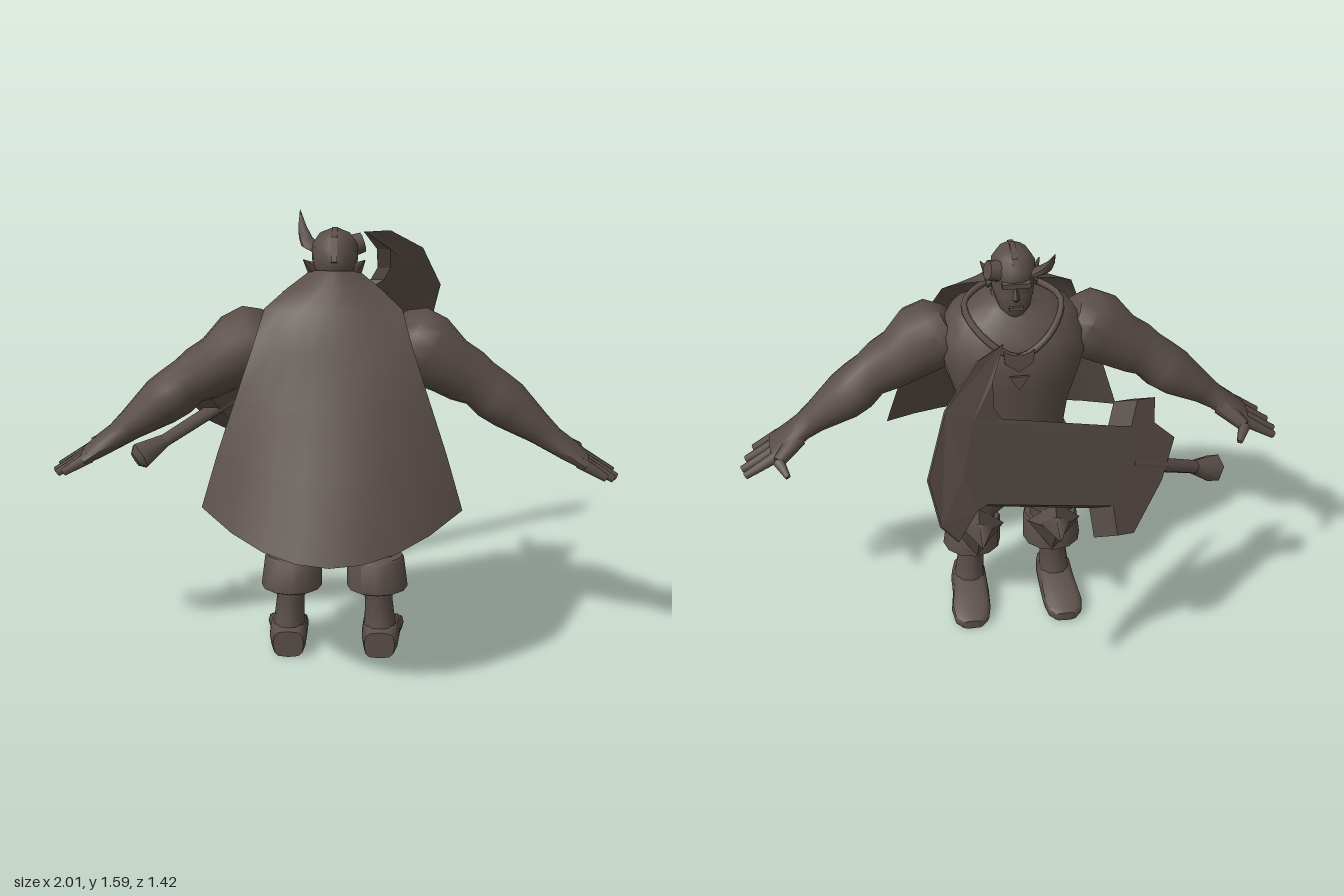
import * as THREE from 'three';
import { toCreasedNormals } from 'three/addons/utils/BufferGeometryUtils.js';
import { ConvexGeometry } from 'three/addons/geometries/ConvexGeometry.js';

const V = (x, y, z) => new THREE.Vector3(x, y, z);
const X = V(1, 0, 0), Y = V(0, 1, 0), Z = V(0, 0, 1);

export function createModel() {
  const model = new THREE.Group();
  const brown = new THREE.MeshStandardMaterial({ color: 0x5a4e48, side: THREE.DoubleSide });
  brown.name = 'dark brown';

  function add(name, geometry) {
    const mesh = new THREE.Mesh(geometry, brown);
    mesh.name = name;
    model.add(mesh);
    return mesh;
  }

  // Capped skin over rings [x, y, z, radius along U, radius along W]; power < 1 squares the ring
  function loft(name, rings, U, W, sides = 14, power = 1) {
    const pos = [], idx = [], count = rings.length;
    const bend = (v) => Math.sign(v) * Math.pow(Math.abs(v), power);
    for (const [x, y, z, a, b] of rings) {
      for (let i = 0; i < sides; i++) {
        const t = (i / sides) * Math.PI * 2;
        const p = V(x, y, z).addScaledVector(U, a * bend(Math.cos(t))).addScaledVector(W, b * bend(Math.sin(t)));
        pos.push(p.x, p.y, p.z);
      }
    }
    const first = rings[0], last = rings[count - 1];
    pos.push(...first.slice(0, 3), ...last.slice(0, 3));
    const axis = V(last[0] - first[0], last[1] - first[1], last[2] - first[2]);
    const flip = U.clone().cross(W).dot(axis) < 0;
    const tri = (a, b, c) => (flip ? idx.push(a, c, b) : idx.push(a, b, c));
    for (let i = 0; i < sides; i++) {
      const j = (i + 1) % sides, top = (count - 1) * sides;
      for (let r = 0; r < count - 1; r++) {
        const o = r * sides, n = o + sides;
        tri(o + i, o + j, n + j);
        tri(o + i, n + j, n + i);
      }
      tri(count * sides, j, i);
      tri(count * sides + 1, top + i, top + j);
    }
    const g = new THREE.BufferGeometry();
    g.setAttribute('position', new THREE.Float32BufferAttribute(pos, 3));
    g.setIndex(idx);
    return add(name, toCreasedNormals(g, 0.85));
  }

  // Horizontal ring from its height, centre x, half width, front z and back z
  const ring = (y, x, a, front, back) => [x, y, (front + back) / 2, a, (back - front) / 2];

  // Tapered rod between two points
  function rod(name, p, q, r0, r1, sides = 8) {
    const dir = q.clone().sub(p);
    const g = new THREE.CylinderGeometry(r1, r0, dir.length(), sides);
    g.applyQuaternion(new THREE.Quaternion().setFromUnitVectors(Y, dir.clone().normalize()));
    g.translate((p.x + q.x) / 2, (p.y + q.y) / 2, (p.z + q.z) / 2);
    return add(name, g);
  }

  const outline = (pts) => new THREE.Shape(pts.map(([x, y]) => new THREE.Vector2(x, y)));

  // Torso and neck
  loft('torso', [
    ring(0.6, 0, 0.07, 0.08, 0.22), ring(0.67, 0, 0.16, 0.03, 0.27), ring(0.75, 0, 0.19, 0, 0.28),
    ring(0.85, 0, 0.19, -0.015, 0.29), ring(0.95, 0, 0.205, -0.02, 0.3), ring(1.05, 0, 0.24, -0.03, 0.33),
    ring(1.14, 0, 0.265, -0.035, 0.34), ring(1.22, 0, 0.26, -0.015, 0.345), ring(1.29, 0, 0.215, 0.03, 0.33),
    ring(1.33, 0, 0.13, 0.06, 0.28), ring(1.36, 0, 0.075, 0.08, 0.23), ring(1.42, 0, 0.065, 0.08, 0.22),
  ], X, Z, 18, 0.9);
  loft('belt', [ring(0.73, 0, 0.205, -0.015, 0.295), ring(0.78, 0, 0.205, -0.02, 0.3)], X, Z, 18, 0.9);
  const buckle = add('beltPlate', new THREE.ExtrudeGeometry(
    outline([[-0.08, 0.87], [0.08, 0.87], [0.1, 0.8], [0.07, 0.73], [0, 0.7], [-0.07, 0.73], [-0.1, 0.8]]),
    { depth: 0.025, bevelEnabled: false }));
  buckle.position.z = -0.038;

  // Neckline cord and chest ornaments
  const cord = new THREE.CatmullRomCurve3([
    V(0, 1.2, -0.03), V(0.12, 1.26, 0.02), V(0.17, 1.33, 0.15), V(0, 1.36, 0.27), V(-0.17, 1.33, 0.15), V(-0.12, 1.26, 0.02),
  ], true);
  add('necklineCord', new THREE.TubeGeometry(cord, 32, 0.012, 6, true));
  const ornaments = {
    chestPlate: [[-0.055, 1.23], [-0.02, 1.215], [0.02, 1.215], [0.055, 1.23], [0.05, 1.18], [0, 1.145], [-0.05, 1.18]],
    chestTriangle: [[-0.035, 1.13], [0.035, 1.13], [0, 1.075]],
  };
  for (const [name, pts] of Object.entries(ornaments)) {
    const g = new THREE.ExtrudeGeometry(outline(pts), { depth: 0.009, bevelEnabled: false });
    add(name, g.translate(0, 0, name === 'chestPlate' ? -0.042 : -0.052));
  }

  // Head, facing the -z side
  loft('head', [
    ring(1.315, 0, 0.035, 0.05, 0.12), ring(1.345, 0, 0.058, 0.033, 0.17), ring(1.4, 0, 0.074, 0.032, 0.21),
    ring(1.435, 0, 0.078, 0.04, 0.228), ring(1.46, 0, 0.08, 0.024, 0.228), ring(1.5, 0, 0.078, 0.03, 0.22),
    ring(1.535, 0, 0.055, 0.06, 0.2), ring(1.55, 0, 0.02, 0.09, 0.17),
  ], X, Z, 14);
  add('nose', new ConvexGeometry([
    V(0, 1.45, 0.035), V(0, 1.4, 0.012), V(-0.02, 1.39, 0.045), V(0.02, 1.39, 0.045), V(0, 1.385, 0.03),
  ]));
  add('brow', new THREE.BoxGeometry(0.1, 0.018, 0.03).translate(0, 1.455, 0.033));
  add('mouth', new THREE.BoxGeometry(0.05, 0.012, 0.02).translate(0, 1.36, 0.036));
  const crest = new THREE.ExtrudeGeometry(
    outline([[0.03, 1.49], [0.06, 1.54], [0.13, 1.56], [0.2, 1.54], [0.235, 1.46], [0.2, 1.44], [0.1, 1.48]]),
    { depth: 0.02, bevelEnabled: false });
  add('crest', crest.rotateY(-Math.PI / 2).translate(0.01, 0, 0));
  loft('horn', [
    [-0.05, 1.465, 0.09, 0.035, 0.035], [-0.085, 1.48, 0.075, 0.034, 0.035], [-0.105, 1.505, 0.05, 0.024, 0.026],
    [-0.118, 1.54, 0.02, 0.014, 0.015], [-0.127, 1.59, -0.012, 0.001, 0.001],
  ], X, Z, 8);
  rod('hornStub', V(0.04, 1.48, 0.09), V(0.095, 1.495, 0.075), 0.04, 0.035, 9);

  // Mirrored limbs
  for (const s of [1, -1]) {
    const side = s > 0 ? 'left' : 'right';
    rod(side + 'Ear', V(s * 0.065, 1.405, 0.14), V(s * 0.105, 1.46, 0.205), 0.03, 0.002, 5);

    const across = V(s * 0.57, 0.82, 0);
    loft(side + 'Arm', [
      [s * 0.2, 1.2, 0.2, 0.1, 0.1], [s * 0.25, 1.19, 0.21, 0.135, 0.125], [s * 0.32, 1.15, 0.22, 0.135, 0.13],
      [s * 0.4, 1.09, 0.21, 0.11, 0.105], [s * 0.46, 1.055, 0.21, 0.1, 0.1], [s * 0.51, 1.025, 0.205, 0.085, 0.086],
      [s * 0.555, 0.985, 0.2, 0.1, 0.09], [s * 0.61, 0.945, 0.195, 0.098, 0.086], [s * 0.72, 0.86, 0.2, 0.065, 0.055],
      [s * 0.77, 0.82, 0.2, 0.062, 0.044], [s * 0.82, 0.785, 0.19, 0.085, 0.038], [s * 0.88, 0.745, 0.19, 0.092, 0.026],
    ], Z, across, 14);
    [[0.115, 0.99], [0.165, 1], [0.215, 0.985], [0.26, 0.955]].forEach(([z, x], i) => {
      const tip = V(s * x, 0.745 - (x - 0.88) * 0.6, z);
      rod(side + 'Finger' + (i + 1), V(s * 0.86, 0.757, 0.19 + (z - 0.19) * 0.9), tip, 0.023, 0.014, 6);
    });
    const knuckle = V(s * 0.865, 0.755, 0.08);
    rod(side + 'ThumbBase', V(s * 0.79, 0.8, 0.16), knuckle, 0.036, 0.023, 6);
    rod(side + 'ThumbTip', knuckle, V(s * 0.835, 0.725, 0.02), 0.023, 0.011, 6);

    // Baggy trousers, knee, cuff and boot
    loft(side + 'Trouser', [
      ring(0.76, s * 0.09, 0.09, 0.01, 0.27), ring(0.68, s * 0.115, 0.11, 0, 0.28), ring(0.58, s * 0.14, 0.122, 0.01, 0.28),
      ring(0.5, s * 0.148, 0.13, 0.015, 0.283), ring(0.465, s * 0.148, 0.122, 0.02, 0.275), ring(0.44, s * 0.145, 0.08, 0.07, 0.22),
    ], X, Z, 12);
    loft(side + 'Knee', [ring(0.46, s * 0.145, 0.08, 0.08, 0.225), ring(0.34, s * 0.145, 0.075, 0.09, 0.225)], X, Z, 10);
    loft(side + 'BootCuff', [
      ring(0.37, s * 0.148, 0.098, 0.085, 0.26), ring(0.36, s * 0.148, 0.103, 0.08, 0.27), ring(0.25, s * 0.155, 0.11, 0.07, 0.28), ring(0.24, s * 0.155, 0.09, 0.09, 0.26),
    ], X, Z, 12);
    loft(side + 'BootShaft', [
      ring(0.3, s * 0.155, 0.065, 0.11, 0.24), ring(0.2, s * 0.16, 0.05, 0.12, 0.23), ring(0.12, s * 0.165, 0.055, 0.11, 0.24), ring(0.05, s * 0.17, 0.068, 0.09, 0.26),
    ], X, Z, 12);
    loft(side + 'BootFoot', [
      [s * 0.165, 0.05, 0.266, 0.055, 0.05], [s * 0.168, 0.058, 0.2, 0.068, 0.058], [s * 0.17, 0.052, 0.1, 0.07, 0.052],
      [s * 0.178, 0.036, 0.02, 0.075, 0.036], [s * 0.18, 0.025, -0.03, 0.066, 0.025], [s * 0.18, 0.018, -0.056, 0.04, 0.018],
    ], X, Y, 12, 0.6);

    // Spiked knee guard
    add(side + 'KneeGuard', new ConvexGeometry([
      V(s * 0.145, 0.52, 0.01), V(s * 0.245, 0.41, 0.06), V(s * 0.045, 0.41, 0.06),
      V(s * 0.145, 0.25, 0.075), V(s * 0.145, 0.42, -0.03), V(s * 0.145, 0.41, 0.1),
    ]));
    rod(side + 'KneeSpike', V(s * 0.145, 0.42, 0.03), V(s * 0.145, 0.435, -0.122), 0.06, 0.001, 4);
  }

  // Cape rows: edge y, centre y, half width, edge z, centre z
  const rows = [
    [1.41, 1.43, 0.085, 0.15, 0.235], [1.365, 1.38, 0.16, 0.22, 0.3], [1.31, 1.31, 0.235, 0.29, 0.36],
    [1.2, 1.18, 0.27, 0.37, 0.41], [1.02, 1.0, 0.33, 0.405, 0.49], [0.84, 0.77, 0.39, 0.43, 0.595], [0.645, 0.53, 0.447, 0.45, 0.71],
  ];
  const cape = new THREE.PlaneGeometry(2, 1, 8, rows.length - 1);
  const cp = cape.attributes.position;
  for (let i = 0; i < cp.count; i++) {
    const [ye, yc, w, ze, zc] = rows[Math.floor(i / 9)], u = cp.getX(i), k = 1 - u * u;
    cp.setXYZ(i, u * w, ye + (yc - ye) * k, ze + (zc - ze) * k);
  }
  cape.computeVertexNormals();
  add('cape', cape);

  // Axe parts are drawn as (z, y) outlines and laid on a slanted plane
  const slant = (z, y) => -1.144 - 1.307 * z + 0.558 * y;
  function axePart(name, pts, thickness) {
    const g = new THREE.ExtrudeGeometry(outline(pts), { depth: 1, bevelEnabled: false });
    const p = g.attributes.position;
    for (let i = 0; i < p.count; i++) {
      const z = p.getX(i), y = p.getY(i), w = 0.5 - p.getZ(i);
      p.setXYZ(i, slant(z, y) + w * thickness(z, y), y, z);
    }
    g.computeVertexNormals();
    add(name, g);
  }
  const bevel = [[-0.42, 1.36], [-0.52, 1.27], [-0.61, 1.13], [-0.635, 1.0]];
  axePart('axeBlade', [
    [-0.1, 1.035], [-0.145, 1.06], [-0.2, 0.985], [-0.455, 1.235], [-0.455, 1.28], ...bevel,
    [-0.605, 1.0], [-0.36, 0.765], [-0.395, 0.66], [-0.355, 0.635], [-0.21, 0.75], [-0.115, 0.865], [-0.14, 0.955],
  ], (z) => (z < -0.4 ? 0.05 : 0.085));
  const isInner = (z, y) => bevel.some(([a, b]) => Math.hypot(a - z, b - y) < 0.001);
  axePart('axeEdge', [
    ...bevel, [-0.7, 0.93], [-0.712, 1.005], [-0.67, 1.165], [-0.54, 1.34], [-0.405, 1.435], [-0.33, 1.445],
  ], (z, y) => (isInner(z, y) ? 0.05 : 0.006));
  const at = (z, y) => V(slant(z, y), y, z);
  rod('axeHandle', at(-0.05, 0.67), at(-0.23, 0.85), 0.026, 0.03, 6);
  rod('axePommelFlare', at(-0.04, 0.66), at(-0.085, 0.705), 0.055, 0.028, 6);
  rod('axePommelCap', at(-0.03, 0.65), at(-0.04, 0.66), 0.03, 0.055, 6);

  return model;
}
